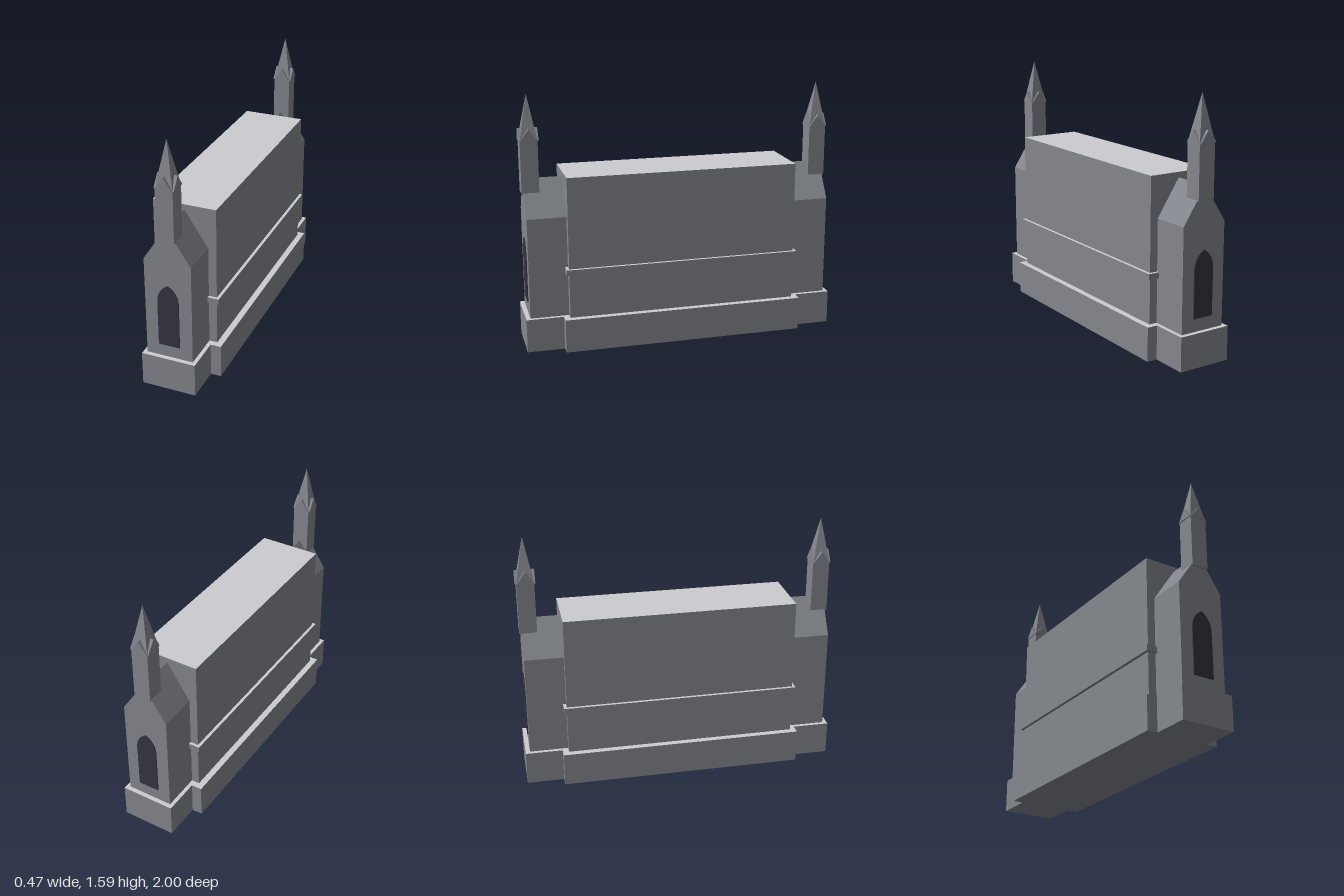
import * as THREE from 'three';

const material = (name, color) => {
  const m = new THREE.MeshStandardMaterial({ color });
  m.name = name;
  return m;
};

export function createModel() {
  const stone = material('grey stone', 0x84878d);
  const pale = material('pale stone', 0xcbcbd1);
  const dark = material('dark window', 0x363442);

  const model = new THREE.Group();
  model.name = 'chapelTomb';

  const add = (parent, name, geometry, mat) => {
    const mesh = new THREE.Mesh(geometry, mat);
    mesh.name = name;
    parent.add(mesh);
    return mesh;
  };

  // Box given by half width, y range and z range, with a pale top face
  const capped = [stone, stone, pale, stone, stone, stone];
  const block = (parent, name, hx, y0, y1, z0, z1, mat = capped) => {
    const g = new THREE.BoxGeometry(hx * 2, y1 - y0, z1 - z0);
    g.translate(0, (y0 + y1) / 2, (z0 + z1) / 2);
    return add(parent, name, g, mat);
  };

  // Outline in x and y pushed along z
  const prism = (points, z0, z1) => {
    const shape = new THREE.Shape(points.map(([x, y]) => new THREE.Vector2(x, y)));
    return new THREE.ExtrudeGeometry(shape, { depth: z1 - z0, bevelEnabled: false }).translate(0, 0, z0);
  };

  // Central hall
  block(model, 'plinth', 0.237, 0, 0.213, -0.767, 0.767);
  block(model, 'hall', 0.198, 0.213, 1.106, -0.73, 0.73);
  block(model, 'stringCourse', 0.217, 0.494, 0.53, -0.748, 0.748);

  // Matching gabled porch with turret at each end
  for (const [name, turn] of [['frontPorch', 0], ['backPorch', Math.PI]]) {
    const porch = new THREE.Group();
    porch.name = name;
    porch.rotation.y = turn;
    model.add(porch);

    block(porch, 'porchPlinth', 0.171, 0, 0.213, 0.767, 1);

    const w = 0.147;
    add(porch, 'gabledPorch',
      prism([[-w, 0.213], [w, 0.213], [w, 0.85], [0, 1.073], [-w, 0.85]], 0.73, 0.972), stone);

    // Pointed window as a thin plate
    const arch = new THREE.Shape();
    arch.moveTo(-0.067, 0.293);
    arch.lineTo(0.067, 0.293);
    arch.lineTo(0.067, 0.59);
    arch.quadraticCurveTo(0.062, 0.665, 0, 0.699);
    arch.quadraticCurveTo(-0.062, 0.665, -0.067, 0.59);
    arch.closePath();
    const plate = new THREE.ExtrudeGeometry(arch, { depth: 0.006, bevelEnabled: false, curveSegments: 8 });
    add(porch, 'window', plate.translate(0, 0, 0.972), dark);

    // Turret shaft, spire and four gablets
    const turret = new THREE.Group();
    turret.name = 'turret';
    turret.position.z = 0.93;
    porch.add(turret);
    const t = 0.054;
    block(turret, 'shaft', t, 0.985, 1.312, -t, t, stone);

    const h = 0.28;
    let spire = new THREE.ConeGeometry(t * Math.SQRT2, h, 4).rotateY(Math.PI / 4).toNonIndexed();
    spire.computeVertexNormals();
    add(turret, 'spire', spire.translate(0, 1.312 + h / 2, 0), stone);

    for (const angle of [0, Math.PI / 2]) {
      const gablet = prism([[-t, 1.312], [t, 1.312], [0, 1.386]], -0.061, 0.061);
      add(turret, 'gablets', gablet.rotateY(angle), stone);
    }
  }

  return model;
}
